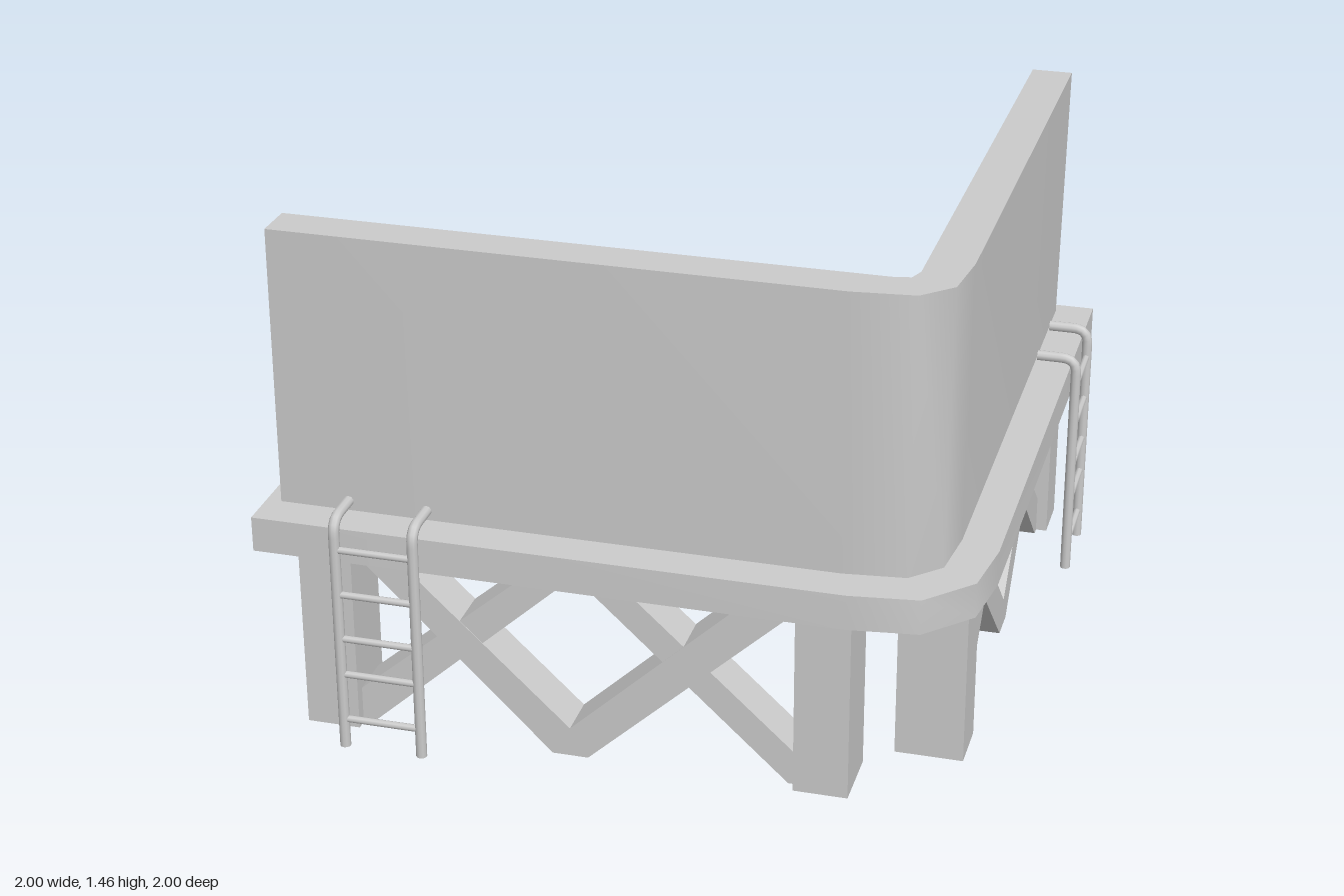
import * as THREE from 'three';
import { toCreasedNormals } from 'three/addons/utils/BufferGeometryUtils.js';

const grey = new THREE.MeshStandardMaterial({ color: 0xcccccc });

function add(parent, name, geometry, x = 0, y = 0, z = 0) {
  const mesh = new THREE.Mesh(geometry, grey);
  mesh.name = name;
  mesh.position.set(x, y, z);
  parent.add(mesh);
  return mesh;
}

const toShape = (points) => new THREE.Shape(points.map(([a, b]) => new THREE.Vector2(a, b)));

// Plan outline given as [x, z], extruded upwards from y0 to y1
function slab(outline, y0, y1) {
  const shape = toShape(outline.map(([x, z]) => [x, -z]));
  const geometry = new THREE.ExtrudeGeometry(shape, { depth: y1 - y0, bevelEnabled: false });
  return geometry.rotateX(-Math.PI / 2).translate(0, y0, 0);
}

// L-shaped walkway with a blunted outer corner
function deckGeometry() {
  const outline = [
    [-1, 0.625], [0.635, 0.635], [0.63, -1], [0.965, -1], [0.965, 0.63],
    [0.94, 0.815], [0.82, 0.94], [0.63, 0.965], [-1, 0.96],
  ];
  return toCreasedNormals(slab(outline, 0.565, 0.665), 0.8);
}

// L-shaped panel: leans slightly outwards and its top drops towards the back
function panelGeometry() {
  const outline = [
    [-0.95, 0.742], [0.69, 0.742], [0.73, 0.732], [0.745, 0.69], [0.748, -0.972],
    [0.865, -0.972], [0.867, 0.6], [0.85, 0.765], [0.77, 0.845], [0.6, 0.865], [-0.95, 0.862],
  ];
  const geometry = slab(outline, 0.66, 1.465);
  const p = geometry.attributes.position;
  for (let i = 0; i < p.count; i++) {
    const x = p.getX(i), z = p.getZ(i);
    if (p.getY(i) > 1) p.setY(i, 1.464 - 0.018 * (0.865 - z));
    else p.setXYZ(i, x - 0.008, p.getY(i), z + (z < 0 ? 0.018 : -0.012));
  }
  return toCreasedNormals(geometry, 0.85);
}

// Two crossing zigzag bands between the legs of one arm
const zigzags = [
  [[-0.76, 0.55], [-0.2, 0], [-0.1, 0], [0.48, 0.54], [0.48, 0.57], [0.365, 0.57],
    [-0.15, 0.085], [-0.665, 0.57], [-0.76, 0.57]],
  [[-0.76, 0.01], [-0.725, 0.01], [-0.13, 0.555], [0.46, 0.01], [0.49, 0.01], [0.49, 0.095],
    [-0.03, 0.57], [-0.23, 0.57], [-0.76, 0.11]],
];

// Ladder with rails that hook over the deck edge
function ladder(s) {
  const group = new THREE.Group();
  group.name = 'ladder';
  const ends = [-0.755, -0.535];
  for (const a of ends) {
    const path = new THREE.CurvePath();
    const v = (y, z) => new THREE.Vector3(s * a, y, z);
    path.add(new THREE.LineCurve3(v(0.01, 0.985), v(0.66, 0.985)));
    path.add(new THREE.QuadraticBezierCurve3(v(0.66, 0.985), v(0.703, 0.985), v(0.703, 0.94)));
    path.add(new THREE.LineCurve3(v(0.703, 0.94), v(0.703, 0.87)));
    add(group, 'ladderRail', new THREE.TubeGeometry(path, 48, 0.015, 10));
    add(group, 'railFoot', new THREE.CircleGeometry(0.015, 10).rotateX(Math.PI / 2), s * a, 0.01, 0.985);
    add(group, 'railTip', new THREE.CircleGeometry(0.015, 10).rotateY(Math.PI), s * a, 0.703, 0.87);
  }
  for (const y of [0.095, 0.235, 0.345, 0.48, 0.615]) {
    const rung = new THREE.CylinderGeometry(0.01, 0.01, ends[1] - ends[0], 8).rotateZ(Math.PI / 2);
    add(group, 'ladderRung', rung, s * (ends[0] + ends[1]) / 2, y, 0.985);
  }
  return group;
}

// Supports of one arm; s flips the direction along the arm
function arm(name, s) {
  const group = new THREE.Group();
  group.name = name;
  for (const [a, width] of [[-0.825, 0.15], [0.555, 0.15]]) {
    add(group, 'leg', new THREE.BoxGeometry(width, 0.56, 0.19), s * a, 0.29, 0.797);
  }
  zigzags.forEach((points, i) => {
    const shape = toShape(points.map(([a, y]) => [s * a, y]));
    // The two bands differ slightly in depth so their faces stay distinct
    const depth = 0.13 - i * 0.004;
    const geometry = new THREE.ExtrudeGeometry(shape, { depth, bevelEnabled: false });
    add(group, 'crossBrace', geometry, 0, 0, 0.797 - depth / 2);
  });
  group.add(ladder(s));
  return group;
}

export function createModel() {
  const model = new THREE.Group();
  model.name = 'cornerBillboard';
  add(model, 'deck', deckGeometry());
  add(model, 'panel', panelGeometry());
  model.add(arm('frontArm', 1));
  // The side arm is the front arm reflected across the corner diagonal
  const side = arm('sideArm', -1);
  side.rotation.y = Math.PI / 2;
  model.add(side);
  return model;
}
